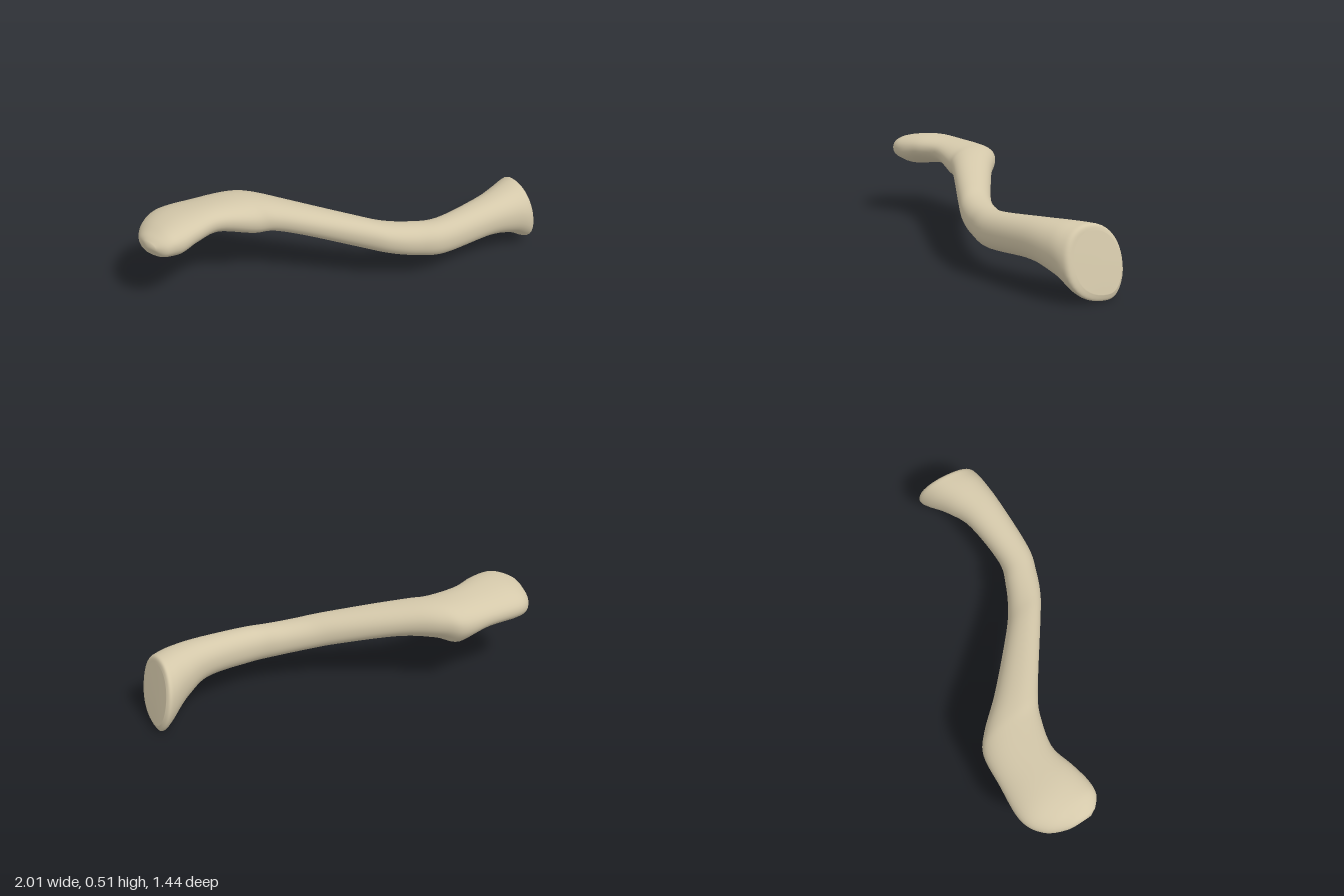
import * as THREE from 'three';

const { clamp, smoothstep } = THREE.MathUtils;

// Cross-sections along the bone:
// back edge x, z | front edge x, z | top y, bottom y | shift of the under-ridge to the back
const SECTIONS = [
  [-0.985, -0.52, -0.99, -0.425, 0.445, 0.40, 0],
  [-0.95, -0.60, -0.95, -0.365, 0.472, 0.34, 0.2],
  [-0.86, -0.69, -0.87, -0.335, 0.495, 0.302, 0.3],
  [-0.73, -0.72, -0.76, -0.328, 0.505, 0.32, 0.2],
  [-0.53, -0.65, -0.61, -0.32, 0.497, 0.325, 0.2],
  [-0.36, -0.58, -0.45, -0.22, 0.49, 0.278, 0.6],
  [-0.28, -0.48, -0.37, -0.145, 0.483, 0.298, 0.4],
  [-0.18, -0.28, -0.27, -0.02, 0.455, 0.285, 0.2],
  [0, 0.02, -0.07, 0.24, 0.393, 0.22, 0],
  [0.10, 0.16, 0.03, 0.36, 0.36, 0.185, 0],
  [0.22, 0.28, 0.14, 0.455, 0.345, 0.16, 0],
  [0.35, 0.37, 0.27, 0.54, 0.346, 0.146, 0],
  [0.62, 0.428, 0.57, 0.642, 0.371, 0.155, 0],
  [0.79, 0.42, 0.73, 0.69, 0.38, 0.10, 0.1],
  [0.93, 0.395, 0.82, 0.713, 0.38, 0.015, 0.25],
  [0.985, 0.393, 0.86, 0.71, 0.375, 0, 0.25],
  [0.995, 0.42, 0.88, 0.68, 0.345, 0.035, 0.2],
];

// Smooth blend of the listed sections at position u
function sectionAt(u) {
  const last = SECTIONS.length - 1;
  const i = Math.min(Math.floor(u), last - 1);
  const f = u - i;
  const [a, b, c, d] = [-1, 0, 1, 2].map((k) => SECTIONS[clamp(i + k, 0, last)]);
  return b.map((p, k) => {
    const m0 = (c[k] - a[k]) / 2;
    const m1 = (d[k] - p) / 2;
    return p + f * (m0 + f * (3 * (c[k] - p) - 2 * m0 - m1 + f * (2 * (p - c[k]) + m0 + m1)));
  });
}

// Point on the rounded outline of one section
function outlinePoint([bx, bz, fx, fz, top, bottom, skew], t) {
  const soften = (v) => Math.sign(v) * Math.pow(Math.abs(v), 0.92);
  const c = soften(Math.cos(t));
  const h = soften(Math.sin(t));
  const across = c + (h < 0 ? skew * h * h * (1 - Math.abs(c)) : 0);
  const w = (across + 1) / 2;
  // The flat end tilts down to the back; the joint end leans outward at the bottom
  const tilt = 0.025 * smoothstep(-bx, 0.2, 0.6) * (1 - smoothstep(-bx, 0.9, 1));
  const lean = 0.035 * smoothstep(bx, 0.7, 0.97);
  const y = (top + bottom) / 2 + h * (top - bottom) / 2 - c * tilt;
  return [fx + (bx - fx) * w - lean * h, y, fz + (bz - fz) * w];
}

function boneGeometry(steps = 6, sides = 40) {
  const rings = (SECTIONS.length - 1) * steps;
  const positions = [];
  const index = [];
  for (let i = 0; i <= rings; i++) {
    const section = sectionAt(i / steps);
    for (let j = 0; j < sides; j++) positions.push(...outlinePoint(section, (j / sides) * Math.PI * 2));
  }
  for (let i = 0; i < rings; i++) {
    for (let j = 0; j < sides; j++) {
      const a = i * sides + j;
      const b = i * sides + (j + 1) % sides;
      index.push(a, b, a + sides, b, b + sides, a + sides);
    }
  }
  // Rounded tip and nearly flat joint face close the two ends
  const tip = positions.length / 3;
  positions.push(-1, 0.425, -0.47, 0.945, 0.185, 0.54);
  for (let j = 0; j < sides; j++) {
    const k = (j + 1) % sides;
    index.push(tip, k, j, tip + 1, rings * sides + j, rings * sides + k);
  }
  const geometry = new THREE.BufferGeometry();
  geometry.setAttribute('position', new THREE.Float32BufferAttribute(positions, 3));
  geometry.setIndex(index);
  geometry.computeVertexNormals();
  return geometry;
}

export function createModel() {
  const group = new THREE.Group();
  group.name = 'collarbone';
  const bone = new THREE.MeshStandardMaterial({ color: 0xd4c8aa });
  bone.name = 'bone';
  const shaft = new THREE.Mesh(boneGeometry(), bone);
  shaft.name = 'boneShaft';
  group.add(shaft);
  return group;
}
